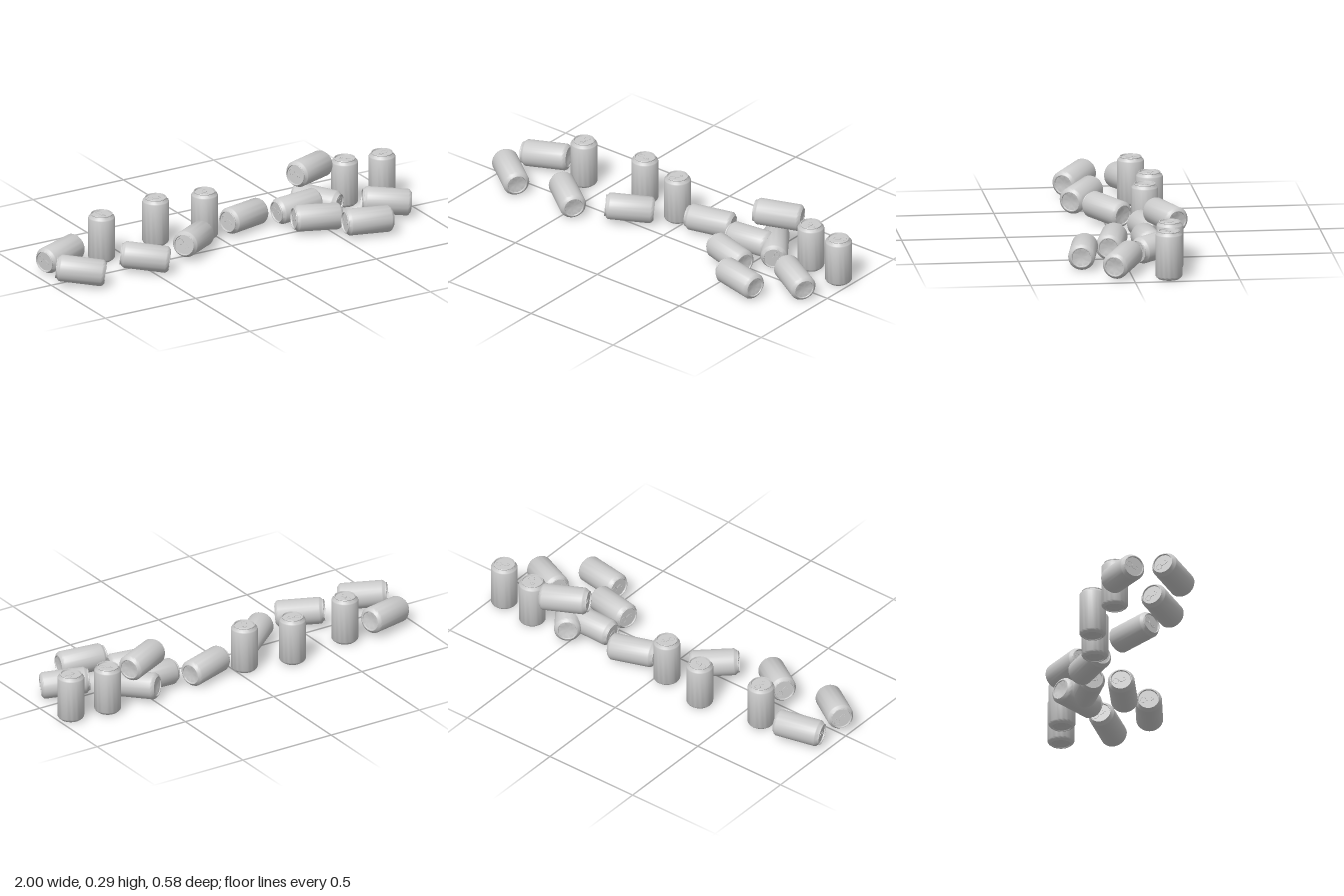
import * as THREE from 'three';
import { toCreasedNormals } from 'three/addons/utils/BufferGeometryUtils.js';

const SIDES = 32;
const HEIGHT = 0.235;

const material = new THREE.MeshStandardMaterial({ color: 0xcccccc });

// Can body turned in one piece: domed base, straight wall, neck, rim and sunken lid
function bodyGeometry() {
  const profile = [
    [0, 0.011], [0.026, 0.009], [0.043, 0.004], [0.045, 0],
    [0.049, 0], [0.052, 0.003], [0.06, 0.009], [0.064, 0.016],
    [0.064, 0.213], [0.062, 0.218], [0.051, 0.229], [0.052, 0.232],
    [0.051, HEIGHT], [0.048, HEIGHT], [0.046, 0.228], [0, 0.228],
  ].map(([r, y]) => new THREE.Vector2(r, y - HEIGHT / 2));
  return toCreasedNormals(new THREE.LatheGeometry(profile, SIDES), 0.6);
}

// Flat pull tab with a finger hole
function tabGeometry() {
  const shape = new THREE.Shape();
  shape.absellipse(0, 0, 0.011, 0.019, 0, Math.PI * 2);
  const hole = new THREE.Path();
  hole.absellipse(0, -0.009, 0.006, 0.005, 0, Math.PI * 2, true);
  shape.holes.push(hole);
  const geo = new THREE.ExtrudeGeometry(shape, { depth: 0.002, bevelEnabled: false, curveSegments: 10 });
  return geo.rotateX(-Math.PI / 2).translate(0, 0.112, 0.008);
}

// Raised outline of the drinking opening
function openingGeometry() {
  return new THREE.TorusGeometry(0.014, 0.0012, 4, 18)
    .rotateX(Math.PI / 2).translate(0, 0.1107, -0.025);
}

export function createModel() {
  const model = new THREE.Group();
  model.name = 'scatteredCans';
  const parts = { canBody: bodyGeometry(), pullTab: tabGeometry(), lidOpening: openingGeometry() };

  function addCan(name, x, y, z) {
    const can = new THREE.Group();
    can.name = name;
    for (const [part, geometry] of Object.entries(parts)) {
      const mesh = new THREE.Mesh(geometry, material);
      mesh.name = part;
      can.add(mesh);
    }
    can.position.set(x, y, z);
    model.add(can);
    return can;
  }

  // Upright cans: x, z
  const standing = [[-0.62, -0.168], [-0.29, -0.219], [-0.05, -0.168], [0.742, -0.195], [0.933, -0.168]];
  standing.forEach(([x, z], i) => {
    addCan('standingCan' + (i + 1), x, 0.005 + HEIGHT / 2, z).rotation.y = i * 1.3;
  });

  // Fallen cans: centre x, y, z, heading of the base in degrees (from +x towards +z), rise of the base in degrees
  const fallen = [
    [-0.85, 0.08, -0.167, -18, 4],
    [-0.877, 0.08, 0.07, 35, -6],
    [-0.525, 0.08, 0.077, 35, -6],
    [-0.21, 0.08, -0.005, -36, -5],
    [0.16, 0.072, -0.157, -17, -2],
    [0.433, 0.079, -0.122, -2, 3],
    [0.545, 0.222, -0.195, -24, -2.5],
    [0.56, 0.077, -0.15, 234, 4],
    [0.832, 0.08, 0.04, 27, -5.5],
    [0.63, 0.077, 0.206, 11, -2],
    [0.443, 0.078, 0.048, 14, -3],
  ];
  const up = new THREE.Vector3(0, 1, 0);
  fallen.forEach(([x, y, z, heading, rise], i) => {
    const h = THREE.MathUtils.degToRad(heading);
    const r = THREE.MathUtils.degToRad(rise);
    const toLid = new THREE.Vector3(
      -Math.cos(h) * Math.cos(r), -Math.sin(r), -Math.sin(h) * Math.cos(r));
    addCan('fallenCan' + (i + 1), x, y, z).quaternion.setFromUnitVectors(up, toLid);
  });

  return model;
}
